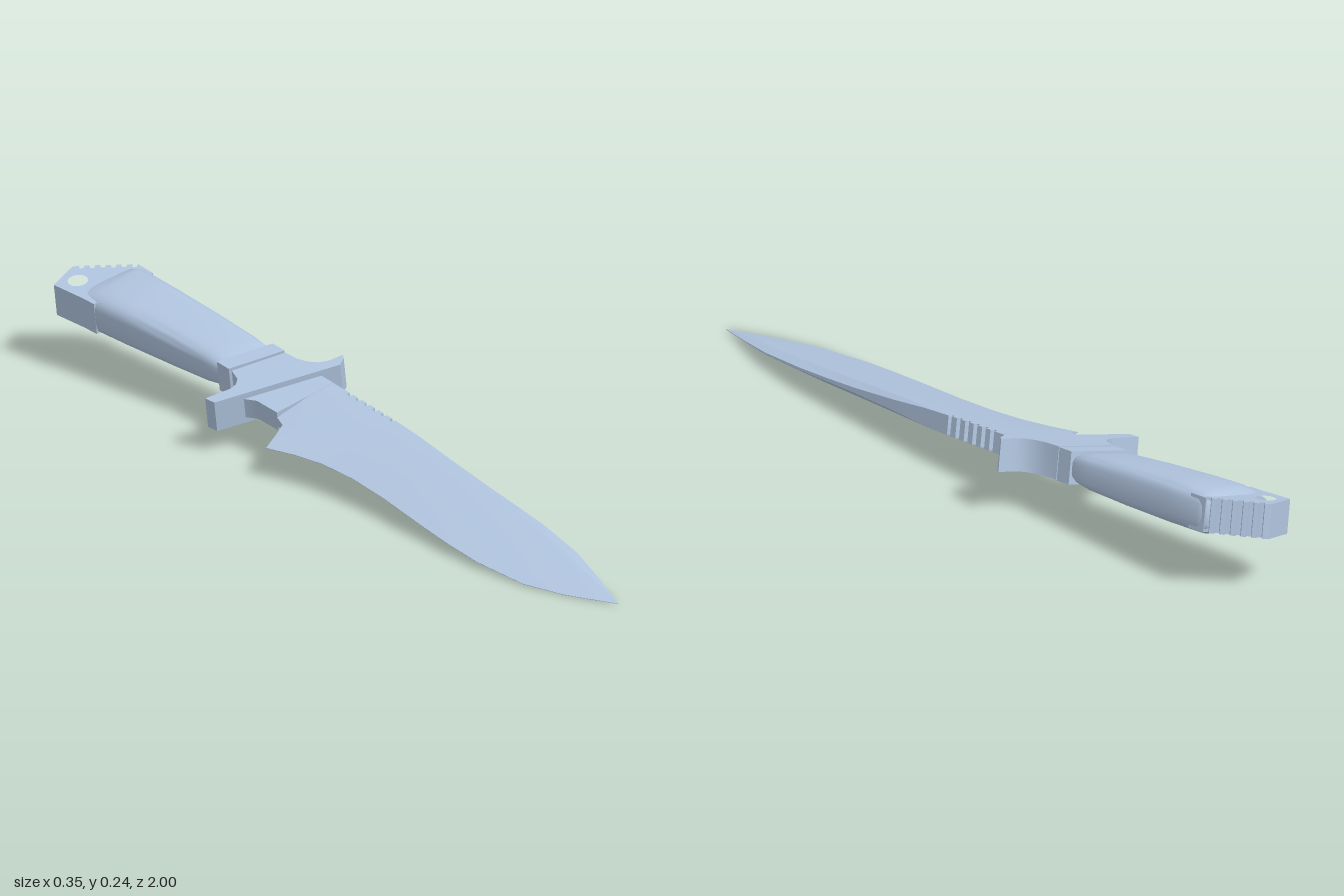
import * as THREE from 'three';
import { toCreasedNormals } from 'three/addons/utils/BufferGeometryUtils.js';

const steel = new THREE.MeshStandardMaterial({ color: 0xb0c4de });
steel.name = 'blue grey steel';

function part(name, geometry, crease = 0.6) {
  const mesh = new THREE.Mesh(toCreasedNormals(geometry, crease), steel);
  mesh.name = name;
  return mesh;
}

// Flat plate from plan points [x, z], centred on y = 0
function plate(points, half, hole) {
  const shape = new THREE.Shape(points.map(([x, z]) => new THREE.Vector2(x, -z)));
  if (hole) {
    const path = new THREE.Path();
    path.absarc(hole[0], -hole[1], hole[2], 0, Math.PI * 2, true);
    shape.holes.push(path);
  }
  const g = new THREE.ExtrudeGeometry(shape, { depth: half * 2, bevelEnabled: false, curveSegments: 20 });
  return g.rotateX(-Math.PI / 2).translate(0, -half, 0);
}

// Skin over closed sections, ordered from back to front
function loft(sections) {
  const n = sections[0].length, last = (sections.length - 1) * n, index = [];
  for (let i = 0; i < sections.length - 1; i++) {
    for (let k = 0; k < n; k++) {
      const a = i * n + k, b = i * n + (k + 1) % n;
      index.push(a, b, b + n, a, b + n, a + n);
    }
  }
  for (let k = 1; k < n - 1; k++) {
    index.push(0, k + 1, k, last, last + k, last + k + 1);
  }
  const g = new THREE.BufferGeometry();
  g.setAttribute('position', new THREE.Float32BufferAttribute(sections.flat(2), 3));
  g.setIndex(index);
  return g.toNonIndexed();
}

function interpolate(table, z) {
  let i = 0;
  while (i < table.length - 2 && z > table[i + 1][0]) i++;
  const [a, b] = [table[i], table[i + 1]];
  const t = THREE.MathUtils.clamp((z - a[0]) / (b[0] - a[0]), 0, 1);
  return a.map((v, k) => v + (b[k] - v) * t);
}

function makeBlade() {
  // z, edge x, grind line x, bevel line x, spine x, half thickness, spine half thickness
  const table = [
    [-0.19, -0.082, 0.02, 0.09, 0.09, 0.025, 0.025],
    [-0.155, -0.093, 0.02, 0.09, 0.09, 0.025, 0.025],
    [-0.138, -0.13, 0.02, 0.09, 0.09, 0.025, 0.025],
    [-0.12, -0.173, 0.02, 0.09, 0.09, 0.025, 0.025],
    [-0.05, -0.146, 0.025, 0.09, 0.09, 0.025, 0.025],
    [0.03, -0.125, 0.03, 0.09, 0.09, 0.024, 0.024],
    [0.13, -0.116, 0.035, 0.084, 0.088, 0.023, 0.021],
    [0.25, -0.119, 0.035, 0.07, 0.084, 0.022, 0.013],
    [0.4, -0.131, 0.03, 0.058, 0.078, 0.019, 0.006],
    [0.51, -0.138, 0.025, 0.05, 0.073, 0.017, 0.004],
    [0.62, -0.14, 0.018, 0.04, 0.066, 0.015, 0.003],
    [0.77, -0.125, 0.0, 0.018, 0.045, 0.011, 0.002],
    [0.88, -0.087, -0.014, -0.005, 0.014, 0.007, 0.001],
    [1.0, -0.025, -0.0245, -0.024, -0.0235, 0.0005, 0.0005],
  ];
  const stations = table.map(r => [r[0], 0]);
  // Square notches along the spine
  for (let i = 0; i < 6; i++) {
    const z = -0.127 + i * 0.031;
    stations.push([z, 0], [z + 0.002, 0.01], [z + 0.012, 0.01], [z + 0.014, 0]);
  }
  for (const s of stations) {
    const inNotch = ((s[0] + 0.127) % 0.031);
    if (s[0] > -0.127 && s[0] < 0.045 && inNotch > 0.0021 && inNotch < 0.0119) s[1] = 0.01;
  }
  stations.sort((a, b) => a[0] - b[0]);
  return loft(stations.map(([z, cut]) => {
    const [, edge, grind, bevel, spine, h, hs] = interpolate(table, z);
    const xs = spine - cut, xb = Math.min(bevel, xs - 0.0003);
    const he = z < -0.12 ? h * (edge + 0.176) / 0.196 : 0.0005;
    const lower = [[edge, -he, z], [grind, -h, z], [xb, -h, z], [xs, -hs, z]];
    return [...lower, ...lower.map(([x, y]) => [x, -y, z]).reverse()];
  }));
}

function makeHandle() {
  // left z, right z, left x, right x, half thickness
  const rows = [
    [-0.91, -0.895, -0.1, 0.074, 0.04],
    [-0.885, -0.89, -0.103, 0.079, 0.048],
    [-0.84, -0.87, -0.1, 0.084, 0.056],
    [-0.75, -0.75, -0.09, 0.086, 0.056],
    [-0.6, -0.59, -0.073, 0.087, 0.052],
    [-0.49, -0.46, -0.061, 0.087, 0.046],
    [-0.455, -0.42, -0.056, 0.085, 0.04],
    [-0.44, -0.405, -0.05, 0.08, 0.034],
  ];
  const round = v => Math.sign(v) * Math.abs(v) ** 0.55;
  return loft(rows.map(([zl, zr, xl, xr, h]) => Array.from({ length: 32 }, (_, k) => {
    const a = k / 32 * Math.PI * 2, u = (round(Math.cos(a)) + 1) / 2;
    return [xl + (xr - xl) * u, h * round(Math.sin(a)), zl + (zr - zl) * u];
  })));
}

function makePommel() {
  const points = [[0.08, -0.84], [-0.1, -0.84], [-0.103, -0.885], [-0.113, -0.972], [-0.034, -1.0]];
  // Stepped grip teeth down the slanted end
  const a = new THREE.Vector2(-0.02, -0.992), b = new THREE.Vector2(0.08, -0.895);
  const inward = new THREE.Vector2(-0.008, 0.008);
  for (let i = 0; i < 6; i++) {
    for (const [t, cut] of [[0, 0], [0.1, 1], [0.45, 1], [0.55, 0]]) {
      const p = a.clone().lerp(b, (i + t) / 5.55).addScaledVector(inward, cut);
      points.push([p.x, p.y]);
    }
  }
  return plate(points, 0.042, [-0.062, -0.945, 0.024]);
}

export function createModel() {
  const knife = new THREE.Group();
  knife.name = 'knife';

  knife.add(part('blade', makeBlade(), 0.3));
  knife.add(part('ricasso', plate([
    [-0.1, -0.29], [-0.083, -0.26], [-0.082, -0.187], [0.09, -0.187], [0.09, -0.29],
  ], 0.0255)));

  // Slanted guard with scooped rear edges
  knife.add(part('guard', plate([
    [-0.17, -0.31], [-0.173, -0.34], [-0.135, -0.333], [-0.105, -0.328], [-0.085, -0.333],
    [-0.068, -0.348], [-0.055, -0.385], [0.08, -0.352], [0.084, -0.31], [0.093, -0.283],
    [0.108, -0.262], [0.13, -0.25], [0.168, -0.245], [0.16, -0.232], [0.137, -0.217],
  ], 0.04)));

  // Neck and collar between guard and handle
  knife.add(part('neck', plate([[-0.048, -0.42], [-0.048, -0.37], [0.078, -0.34], [0.078, -0.39]], 0.032)));
  knife.add(part('collar', plate([[-0.055, -0.44], [-0.055, -0.396], [0.085, -0.36], [0.085, -0.404]], 0.04)));

  knife.add(part('handle', makeHandle(), 0.7));
  knife.add(part('pommel', makePommel(), 0.5));

  // Resting tilt: tip down, spine side raised
  knife.rotation.set(0.092, 0, 0.187);
  knife.position.y = 0.098;

  const model = new THREE.Group();
  model.add(knife);
  return model;
}
